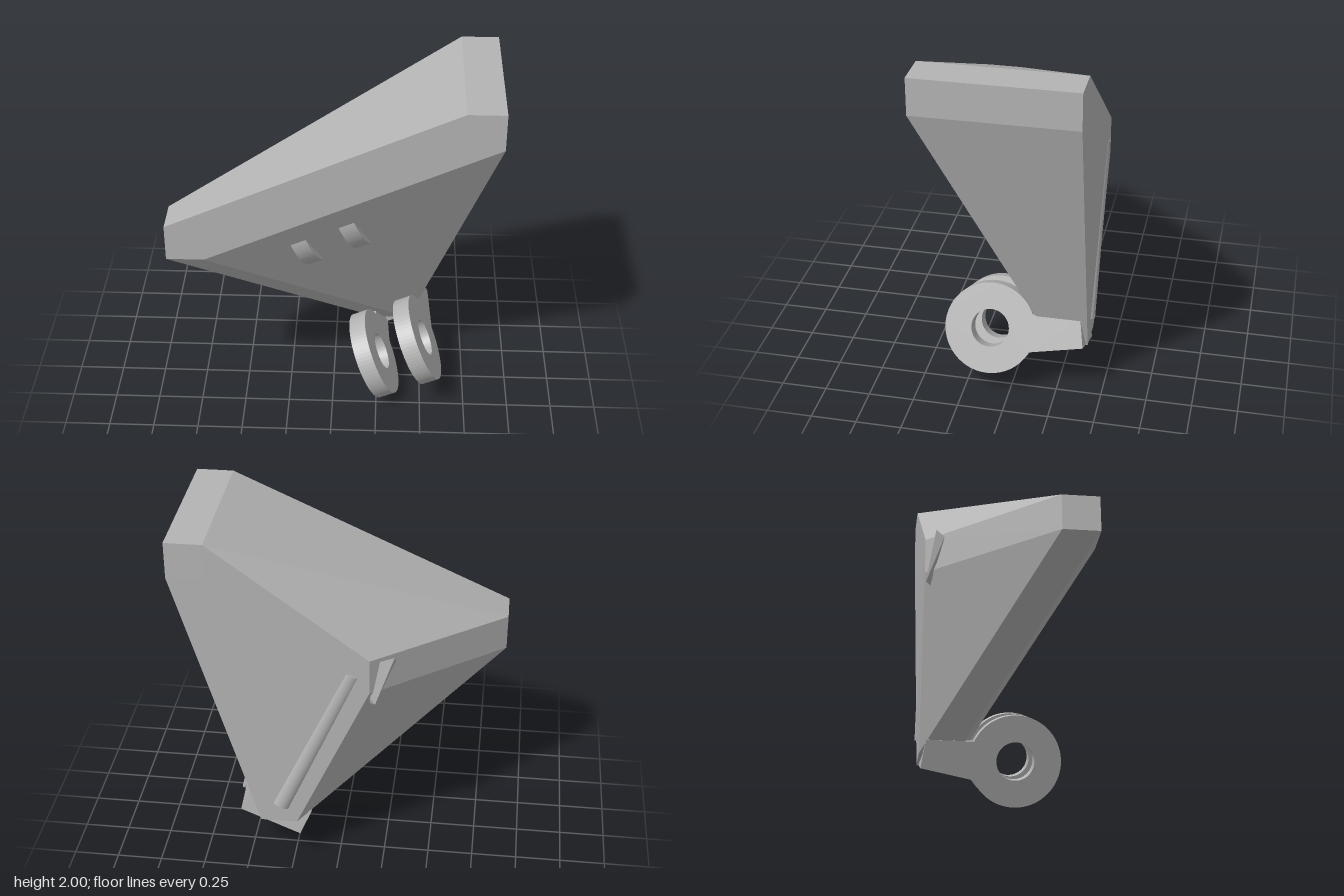
import * as THREE from 'three';
import { ConvexGeometry } from 'three/addons/geometries/ConvexGeometry.js';

const TILT = 0.415; // lean of the hinge axis about z
const LUG_RADIUS = 0.25;

export function createModel() {
  const model = new THREE.Group();
  model.name = 'hingedBracket';
  const grey = new THREE.MeshStandardMaterial({ color: 0xb4b4b4 });
  grey.name = 'plain grey';

  function add(parent, geometry, name) {
    const mesh = new THREE.Mesh(geometry, grey);
    mesh.name = name;
    parent.add(mesh);
    return mesh;
  }

  // Group whose x runs along the hinge axis
  function hingeGroup(name, x, y, z) {
    const group = new THREE.Group();
    group.name = name;
    group.position.set(x, y, z);
    group.rotation.z = TILT;
    model.add(group);
    return group;
  }

  // Extrusion across the hinge axis, centred on x = 0 (shape x becomes -z)
  function across(shape, width) {
    const geometry = new THREE.ExtrudeGeometry(shape, { depth: width, bevelEnabled: false, curveSegments: 32 });
    return geometry.translate(0, 0, -width / 2).rotateY(Math.PI / 2);
  }

  // Body: hull stretched around a small cube at each of five corners
  const cubeCentres = [
    [0.77, 1.9, 0.33], [0.77, 1.9, -0.33], [-0.77, 1.2, 0.33],
    [-0.07, 1.27, -0.32], [0.33, 0.37, -0.31],
  ];
  const points = [];
  for (const [x, y, z] of cubeCentres) {
    for (const dx of [-0.1, 0.1]) for (const dy of [-0.1, 0.1]) for (const dz of [-0.1, 0.1]) {
      points.push(new THREE.Vector3(x + dx, y + dy, z + dz));
    }
  }
  add(model, new ConvexGeometry(points), 'body');

  // Hinge fork: two ringed lugs with tapering arms, joined by a block
  const fork = hingeGroup('hingeFork', 0.357, 0.303, 0.115);
  const lug = new THREE.Shape();
  lug.absarc(0, 0, LUG_RADIUS, 0.41, Math.PI * 2 - 0.456, false);
  lug.lineTo(0.515, -0.055);
  lug.lineTo(0.49, 0.1);
  lug.closePath();
  const hole = new THREE.Path();
  hole.absarc(0, 0, 0.104, 0, Math.PI * 2, true);
  lug.holes.push(hole);
  const lugGeometry = across(lug, 0.095);
  for (const side of [-1, 1]) {
    add(fork, lugGeometry, side < 0 ? 'rightLug' : 'leftLug').position.x = side * 0.133;
  }
  const block = new THREE.Shape([
    new THREE.Vector2(0.375, -0.077), new THREE.Vector2(0.515, -0.055),
    new THREE.Vector2(0.49, 0.1), new THREE.Vector2(0.375, 0.1),
  ]);
  add(fork, across(block, 0.18), 'forkBlock');

  // Discs sunk into the front face, only their rims standing proud
  const discs = hingeGroup('frontDiscs', -0.045, 1.22, 0.107);
  const discGeometry = new THREE.CylinderGeometry(LUG_RADIUS, LUG_RADIUS, 0.088, 48).rotateZ(Math.PI / 2);
  for (const side of [-1, 1]) {
    add(discs, discGeometry, 'frontDisc').position.x = side * 0.139;
  }

  // Rod half sunk into the back face
  const rod = hingeGroup('backRod', 0.12, 0.825, -0.37);
  add(rod, new THREE.CylinderGeometry(0.06, 0.06, 0.98, 32), 'rod');

  // Small tapering fin on the slanted back corner
  const fin = [
    [-0.295, 1.37, -0.37], [-0.3, 1.325, -0.325], [-0.2, 1.1, -0.415],
    [-0.175, 1.09, -0.39], [-0.1, 1.3, -0.38], [-0.08, 1.2, -0.36],
  ].map((p) => new THREE.Vector3(...p));
  add(model, new ConvexGeometry(fin), 'backFin');

  return model;
}
